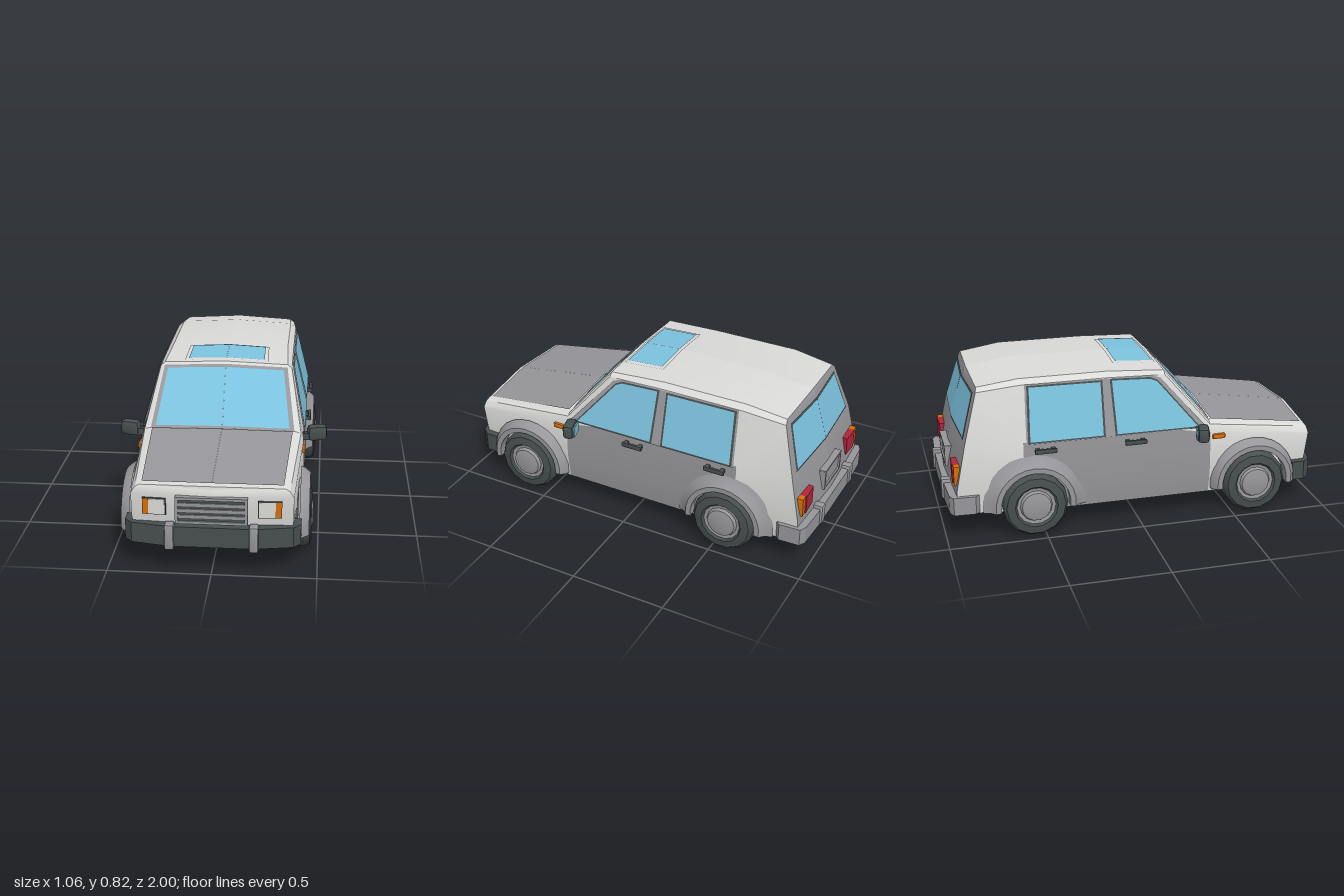
import * as THREE from 'three';
import { toCreasedNormals } from 'three/addons/utils/BufferGeometryUtils.js';
import { RoundedBoxGeometry } from 'three/addons/geometries/RoundedBoxGeometry.js';

const paint = (name, color) => new THREE.MeshStandardMaterial({ name, color, side: THREE.DoubleSide });
const V = (x, y, z) => new THREE.Vector3(x, y, z);

export function createModel() {
  const car = new THREE.Group();
  car.name = 'car';
  const white = paint('white paint', 0xdadbd9);
  const grey = paint('grey paint', 0x97979b);
  const glass = paint('blue glass', 0x7cc3df);
  const dark = paint('dark rubber', 0x484f4f);
  const black = paint('black underside', 0x2a2d2d);
  const orange = paint('orange lamp', 0xd66e05);
  const red = paint('red lamp', 0xb3253a);

  function add(name, geo, mat) {
    const mesh = new THREE.Mesh(geo, mat);
    mesh.name = name;
    car.add(mesh);
    return mesh;
  }
  // Copy reflected in x, with the corner order turned round
  function reflect(geo) {
    const g = geo.index ? geo.toNonIndexed() : geo.clone();
    const p = g.attributes.position, a = V(), b = V();
    g.scale(-1, 1, 1);
    for (let i = 0; i < p.count; i += 3) {
      a.fromBufferAttribute(p, i + 1);
      b.fromBufferAttribute(p, i + 2);
      p.setXYZ(i + 1, b.x, b.y, b.z);
      p.setXYZ(i + 2, a.x, a.y, a.z);
    }
    return toCreasedNormals(g, 0.5);
  }
  function pair(name, geo, mat) {
    add(name + 'Left', toCreasedNormals(geo, 0.5), mat);
    add(name + 'Right', reflect(geo), mat);
  }
  function box(name, mat, w, h, d, x, y, z, turn = 0, r = 0) {
    const g = r ? new RoundedBoxGeometry(w, h, d, 1, r) : new THREE.BoxGeometry(w, h, d);
    g.rotateY(turn).translate(x, y, z);
    return x ? pair(name, g, mat) : add(name, g, mat);
  }
  function fromTriangles(points) {
    const g = new THREE.BufferGeometry().setFromPoints(points);
    g.computeVertexNormals();
    return g;
  }
  // Thin convex panel on both halves of the car
  function panel(name, mat, pts) {
    const tris = [];
    for (let i = 1; i < pts.length - 1; i++) tris.push(pts[0], pts[i], pts[i + 1]);
    pair(name, fromTriangles(tris), mat);
  }

  // Half cross-sections, floor centre to roof centre
  const section = (rows) => rows.map((r) => V(...r));
  const ring = (z, p4, p5, p6) => section([[0, 0.12, z], [0.4, 0.12, z], [0.42, 0.27, z], [0.41, 0.5, z],
    [...p4, z], [...p5, z], [0, p6, z]]);
  const front = section([[0, 0.14, 0.91], [0.37, 0.14, 0.91], [0.385, 0.27, 0.925], [0.385, 0.39, 0.94],
    [0.365, 0.42, 0.935], [0.345, 0.43, 0.93], [0, 0.44, 0.955]]);
  const cowl = section([[0, 0.12, 0.38], [0.4, 0.12, 0.38], [0.42, 0.27, 0.38], [0.414, 0.46, 0.38],
    [0.4, 0.5, 0.38], [0.37, 0.51, 0.385], [0, 0.52, 0.4]]);
  const roofFront = ring(0.15, [0.342, 0.772], [0.32, 0.79], 0.802);
  const roofMid = ring(-0.15, [0.34, 0.78], [0.31, 0.805], 0.822);
  const roofBack = ring(-0.6, [0.34, 0.78], [0.31, 0.805], 0.822);
  const tail = section([[0, 0.15, -0.94], [0.4, 0.15, -0.94], [0.41, 0.27, -0.94], [0.392, 0.5, -0.89],
    [0.325, 0.755, -0.815], [0.3, 0.775, -0.81], [0, 0.79, -0.82]]);
  const stations = [front, cowl, roofFront, roofMid, roofBack, tail];

  // Body shell, sorted by colour
  const shell = new Map([[white, []], [grey, []], [black, []]]);
  const quad = (mat, a, b, c, d) => {
    shell.get(mat).push(a, b, c);
    if (!c.equals(d)) shell.get(mat).push(a, c, d);
  };
  for (let k = 0; k < stations.length - 1; k++) {
    const s = stations[k], t = stations[k + 1];
    for (let i = 0; i < 6; i++) {
      const door = k >= 1 && k <= 3 && (i === 1 || i === 2);
      quad(i === 0 ? black : door ? grey : white, s[i], t[i], t[i + 1], s[i + 1]);
    }
  }
  const centre = (s, i, bulge) => (i === 6 ? s[6] : V(0, s[i].y, s[i].z + bulge));
  for (let i = 1; i < 6; i++) {
    quad(white, centre(front, i, 0.025), front[i], front[i + 1], centre(front, i + 1, 0.025));
    const a = centre(tail, i, -0.02), d = centre(tail, i + 1, -0.02);
    shell.get(grey).push(a, tail[i + 1], tail[i]);
    if (i < 5) shell.get(grey).push(a, d, tail[i + 1]);
  }
  const names = ['paintedBody', 'doorsAndTailgate', 'floor'];
  [...shell].forEach(([mat, pts], i) => pair(names[i], fromTriangles(pts), mat));

  // Panel covering part of a four-cornered surface, lifted off it
  function inset(name, mat, [a, b, c, d], u, v0, v1, lift, flip = false) {
    const at = (s, t) => a.clone().lerp(b, s).lerp(d.clone().lerp(c, s), t);
    const n = b.clone().sub(a).cross(d.clone().sub(a)).normalize().multiplyScalar(flip ? -lift : lift);
    const pts = [at(0, v0), at(u, v0), at(u, v1), at(0, v1)].map((p) => p.add(n));
    panel(name, mat, flip ? pts.reverse() : pts);
  }
  const hood = [front[6], front[5], cowl[5], cowl[6]];
  const screen = [cowl[6], cowl[5], roofFront[5], roofFront[6]];
  const roof = [roofFront[6], roofFront[5], roofMid[5], roofMid[6]];
  const hatch = [centre(tail, 3, -0.02), tail[3], tail[4], centre(tail, 4, -0.02)];
  inset('hoodPanel', grey, hood, 0.97, 0.04, 0.98, 0.006);
  inset('windshieldFrame', grey, screen, 0.99, 0, 0.95, 0.005);
  inset('windshield', glass, screen, 0.925, 0.03, 0.9, 0.009);
  inset('sunroofRim', white, roof, 0.68, 0.06, 0.8, 0.005);
  inset('sunroof', glass, roof, 0.62, 0.1, 0.75, 0.009);
  inset('rearWindowFrame', dark, hatch, 0.885, 0.07, 0.96, 0.004, true);
  inset('rearWindow', glass, hatch, 0.86, 0.1, 0.93, 0.008, true);

  // Side windows and their surround
  const side = (name, mat, lift, pts) =>
    panel(name, mat, pts.map(([z, y]) => V(0.41 - (y - 0.5) * 0.25 + lift, y, z)));
  side('windowSurround', grey, 0.004, [[0.36, 0.49], [-0.585, 0.49], [-0.575, 0.782], [0.08, 0.775], [0.125, 0.76]]);
  const frontPane = [[0.31, 0.502], [-0.118, 0.502], [-0.13, 0.768], [0.07, 0.76], [0.105, 0.745]];
  const rearPane = [[-0.19, 0.502], [-0.565, 0.502], [-0.555, 0.768], [-0.19, 0.765]];
  const grow = (pts) => {
    const mz = pts.reduce((s, p) => s + p[0], 0) / pts.length;
    return pts.map(([z, y]) => [mz + (z - mz) * 1.06, 0.635 + (y - 0.635) * 1.06]);
  };
  for (const [name, pane] of [['frontSide', frontPane], ['rearSide', rearPane]]) {
    side(name + 'Seal', dark, 0.007, grow(pane));
    side(name + 'Window', glass, 0.01, pane);
  }

  // Wheels and flared arches, turned about the axle
  const turned = (profile, z, sides, start = 0, sweep = Math.PI * 2) =>
    new THREE.LatheGeometry(profile.map(([r, h]) => new THREE.Vector2(r, h)), sides, start, sweep)
      .rotateZ(-Math.PI / 2).translate(0, 0.17, z);
  for (const [name, z, reach] of [['front', 0.62, 0.235], ['rear', -0.55, 0.265]]) {
    pair(name + 'Tire', turned([[0, 0.3], [0.145, 0.3], [0.168, 0.325], [0.168, 0.435], [0.152, 0.46],
      [0.11, 0.467], [0.1, 0.455]], z, 14), dark);
    pair(name + 'Hub', turned([[0.1, 0.455], [0.083, 0.452], [0.075, 0.467], [0.05, 0.473], [0, 0.473]], z, 14), grey);
    pair(name + 'Arch', turned([[reach, 0.41], [0.228, 0.428], [0.205, 0.456], [0.178, 0.456], [0.178, 0.4]],
      z, 14, Math.PI - 0.12, Math.PI + 0.24), grey);
  }

  // Bumpers with curved plan outline
  function bumper(name, mat, outline, y0, y1) {
    const pts = [...outline, ...outline.slice().reverse().map(([x, z]) => [-x, z])];
    const shape = new THREE.Shape(pts.map(([x, z]) => new THREE.Vector2(x, -z)));
    const g = new THREE.ExtrudeGeometry(shape, { depth: y1 - y0, bevelEnabled: false });
    add(name, g.rotateX(-Math.PI / 2).translate(0, y0, 0), mat);
  }
  bumper('frontBumper', dark, [[0.2, 0.985], [0.385, 0.95], [0.42, 0.91], [0.42, 0.845]], 0.14, 0.242);
  bumper('rearBumper', grey, [[0.41, -0.83], [0.43, -0.85], [0.425, -0.96], [0.39, -0.978], [0.2, -0.988]], 0.15, 0.245);
  box('frontBumperGuard', grey, 0.045, 0.13, 0.06, 0.2, 0.19, 0.97, 0, 0.01);
  box('rearBumperGuard', grey, 0.045, 0.11, 0.06, 0.2, 0.21, -0.97, 0, 0.01);
  box('frontValance', black, 0.5, 0.04, 0.08, 0, 0.14, 0.9);

  // Grille and front lamps
  box('grilleBack', dark, 0.33, 0.12, 0.03, 0, 0.325, 0.96);
  for (const y of [0.385, 0.265]) box('grilleRail', grey, 0.34, 0.014, 0.04, 0, y, 0.963);
  box('grillePost', grey, 0.014, 0.13, 0.04, 0.164, 0.325, 0.963);
  for (const y of [0.295, 0.325, 0.355]) box('grilleSlat', grey, 0.32, 0.016, 0.034, 0, y, 0.963);
  box('headlampSurround', dark, 0.112, 0.084, 0.03, 0.273, 0.33, 0.938, 0.07);
  box('headlamp', white, 0.078, 0.076, 0.036, 0.26, 0.33, 0.94, 0.07);
  box('frontIndicator', orange, 0.027, 0.076, 0.036, 0.313, 0.33, 0.936, 0.07);

  // Rear lamps and number plate recess
  box('tailLamp', red, 0.1, 0.1, 0.04, 0.29, 0.34, -0.93, 0.05);
  box('rearIndicator', orange, 0.036, 0.1, 0.04, 0.358, 0.34, -0.927, 0.05);
  box('plateBack', grey, 0.2, 0.09, 0.02, 0, 0.345, -0.943);
  for (const y of [0.295, 0.395]) box('plateRail', grey, 0.22, 0.012, 0.04, 0, y, -0.942);
  box('platePost', grey, 0.012, 0.1, 0.04, 0.105, 0.345, -0.942);

  // Door mirrors, handles and side indicators
  box('mirrorArm', dark, 0.06, 0.035, 0.035, 0.425, 0.47, 0.33);
  box('mirrorHousing', dark, 0.1, 0.08, 0.06, 0.48, 0.485, 0.318, 0.25, 0.02);
  box('mirrorGlass', glass, 0.07, 0.055, 0.006, 0.472, 0.485, 0.287, 0.25);
  for (const z of [-0.025, -0.49]) {
    box('doorHandle', dark, 0.016, 0.026, 0.115, 0.437, 0.455, z, 0, 0.006);
    for (const end of [-0.04, 0.04]) box('handleMount', dark, 0.03, 0.02, 0.02, 0.425, 0.455, z + end);
  }
  box('sideIndicator', orange, 0.03, 0.028, 0.07, 0.41, 0.435, 0.425, 0, 0.008);
  return car;
}
